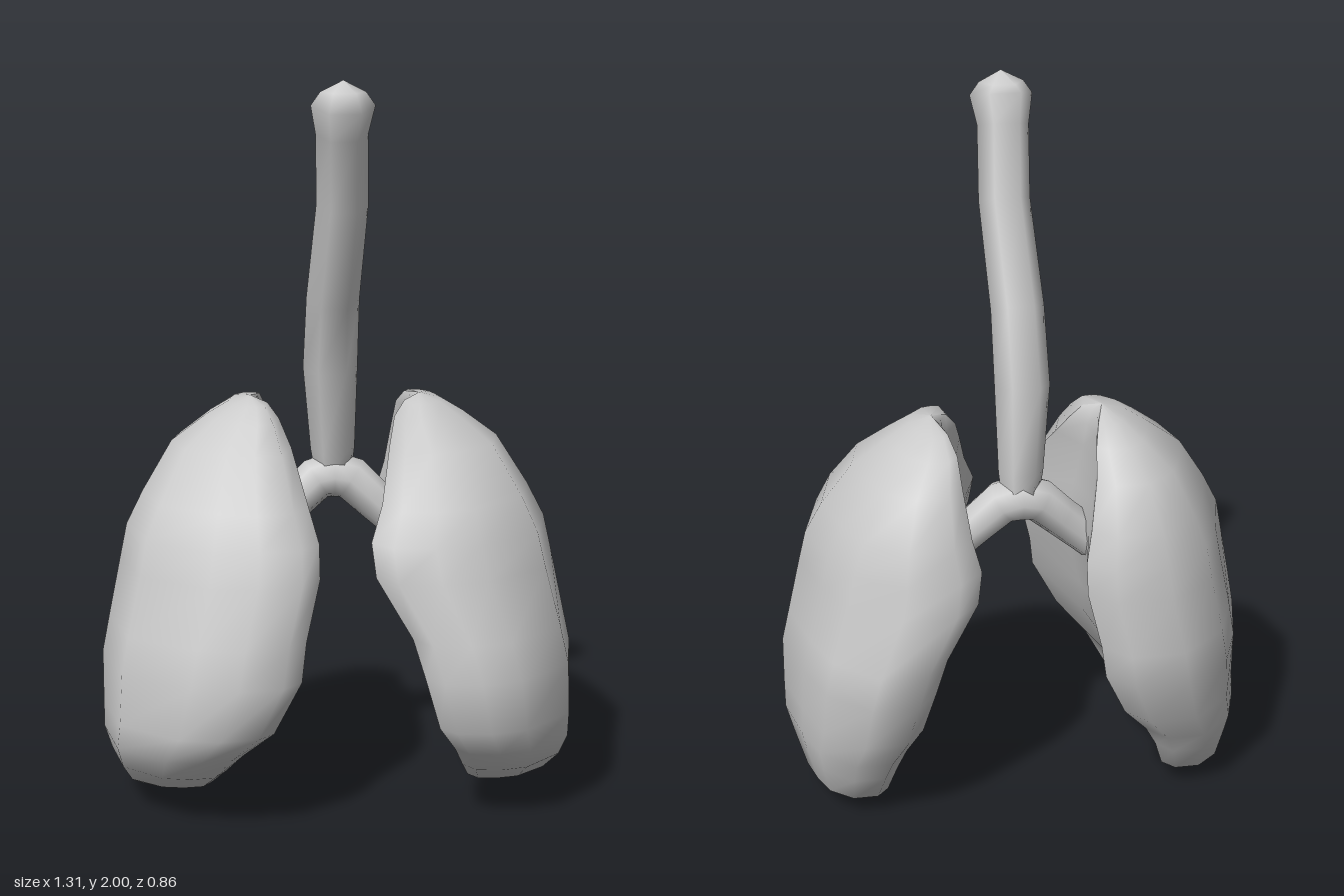
import * as THREE from 'three';

const material = new THREE.MeshStandardMaterial({ color: 0xcccccc, side: THREE.DoubleSide });

// Skin a stack of point rings; closed rings wrap around, open ones form a sheet.
function loft(name, rings, closed) {
  const n = rings[0].length, index = [];
  for (let i = 0; i < rings.length - 1; i++) {
    for (let j = 0; j < (closed ? n : n - 1); j++) {
      const k = (j + 1) % n, a = i * n, b = a + n;
      index.push(a + j, a + k, b + k, a + j, b + k, b + j);
    }
  }
  const geometry = new THREE.BufferGeometry().setFromPoints(rings.flat());
  geometry.setIndex(index);
  geometry.computeVertexNormals();
  const mesh = new THREE.Mesh(geometry, material);
  mesh.name = name;
  return mesh;
}

// Tube along stations [x, y, z, radius], with rings square to the path.
function pipe(name, stations, sides) {
  const points = stations.map(s => new THREE.Vector3(s[0], s[1], s[2]));
  const rings = points.map((p, i) => {
    const t = points[Math.min(i + 1, points.length - 1)].clone()
      .sub(points[Math.max(i - 1, 0)]).normalize();
    const u = new THREE.Vector3(0, 0, 1).cross(t).normalize();
    const v = t.clone().cross(u);
    return Array.from({ length: sides }, (_, k) => {
      const a = (k / sides) * Math.PI * 2;
      return p.clone().addScaledVector(u, Math.cos(a) * stations[i][3])
        .addScaledVector(v, Math.sin(a) * stations[i][3]);
    });
  });
  return loft(name, rings, true);
}

// Lung levels, bottom to top: y, inner x (left lung), inner x (right lung),
// outer x, back z, front z, front edge of the inner face (-1 back to 1 front)
const LEVELS = [
  [0.003, 0.52, 0.52, 0.52, -0.08, -0.08, 0.8],
  [0.02, 0.43, 0.43, 0.57, -0.18, 0.02, 0.8],
  [0.06, 0.36, 0.36, 0.605, -0.26, 0.14, 0.8],
  [0.14, 0.325, 0.325, 0.635, -0.30, 0.29, 0.8],
  [0.21, 0.295, 0.28, 0.655, -0.34, 0.36, 0.84],
  [0.29, 0.245, 0.20, 0.655, -0.38, 0.42, 0.86],
  [0.43, 0.205, 0.125, 0.655, -0.425, 0.43, 0.84],
  [0.53, 0.175, 0.11, 0.635, -0.433, 0.41, 0.8],
  [0.69, 0.08, 0.07, 0.602, -0.422, 0.37, 0.78],
  [0.78, 0.07, 0.07, 0.583, -0.41, 0.335, 0.78],
  [0.87, 0.105, 0.095, 0.537, -0.39, 0.29, 0.72],
  [1.0, 0.14, 0.13, 0.455, -0.34, 0.16, 0.55],
  [1.07, 0.16, 0.16, 0.36, -0.26, 0.08, 0.45],
  [1.11, 0.19, 0.19, 0.295, -0.19, 0.03, 0.4],
  [1.125, 0.235, 0.235, 0.235, -0.07, -0.07, 0.4],
];
// Level outline: u from inner to outer, v from back to front; null v is the level's own front edge
const OUTER = [[0, null], [0.1, 0.97], [0.32, 1], [0.56, 0.94], [0.9, 0.6], [1, 0.05],
  [0.91, -0.4], [0.8, -0.74], [0.55, -1], [0.27, -1], [0.14, -0.82]];
const INNER = [[0.14, -0.82], [0.22, -0.35], [0.17, 0.1], [0, null]];

function makeLung(side) {
  const rings = outline => LEVELS.map(([y, left, right, outer, back, front, edge]) => {
    const inner = side > 0 ? left : right;
    const ring = outline.map(([u, v]) => new THREE.Vector3(
      side * (inner + u * (outer - inner)), y,
      (front + back) / 2 + (v ?? edge) * (front - back) / 2));
    return side > 0 ? ring : ring.reverse();
  });
  const lung = new THREE.Group();
  lung.name = side > 0 ? 'leftLung' : 'rightLung';
  // Rounded outside and creased inner face
  lung.add(loft('lungOuterSurface', rings(OUTER), false));
  lung.add(loft('lungInnerFace', rings(INNER), false));
  return lung;
}

export function createModel() {
  const model = new THREE.Group();
  model.name = 'lungs';

  // Windpipe, flared and closed with a low point at the top
  model.add(pipe('windpipe', [
    [0, 0.88, -0.125, 0.05], [-0.003, 0.96, -0.115, 0.062],
    [-0.012, 1.2, -0.085, 0.076], [-0.01, 1.4, -0.022, 0.073], [0.006, 1.67, 0.09, 0.07],
    [0, 1.86, 0.145, 0.07], [0, 1.935, 0.175, 0.085], [0, 1.97, 0.175, 0.06], [0, 2, 0.178, 0],
  ], 6));

  // Branches running from the windpipe down into the inner faces
  model.add(pipe('bronchi', [
    [-0.23, 0.71, -0.095, 0.055], [-0.11, 0.815, -0.105, 0.057], [-0.05, 0.872, -0.115, 0.062],
    [0, 0.885, -0.12, 0.066],
    [0.05, 0.872, -0.115, 0.062], [0.11, 0.815, -0.105, 0.057], [0.23, 0.71, -0.095, 0.055],
  ], 8));

  for (const side of [1, -1]) model.add(makeLung(side));
  return model;
}
